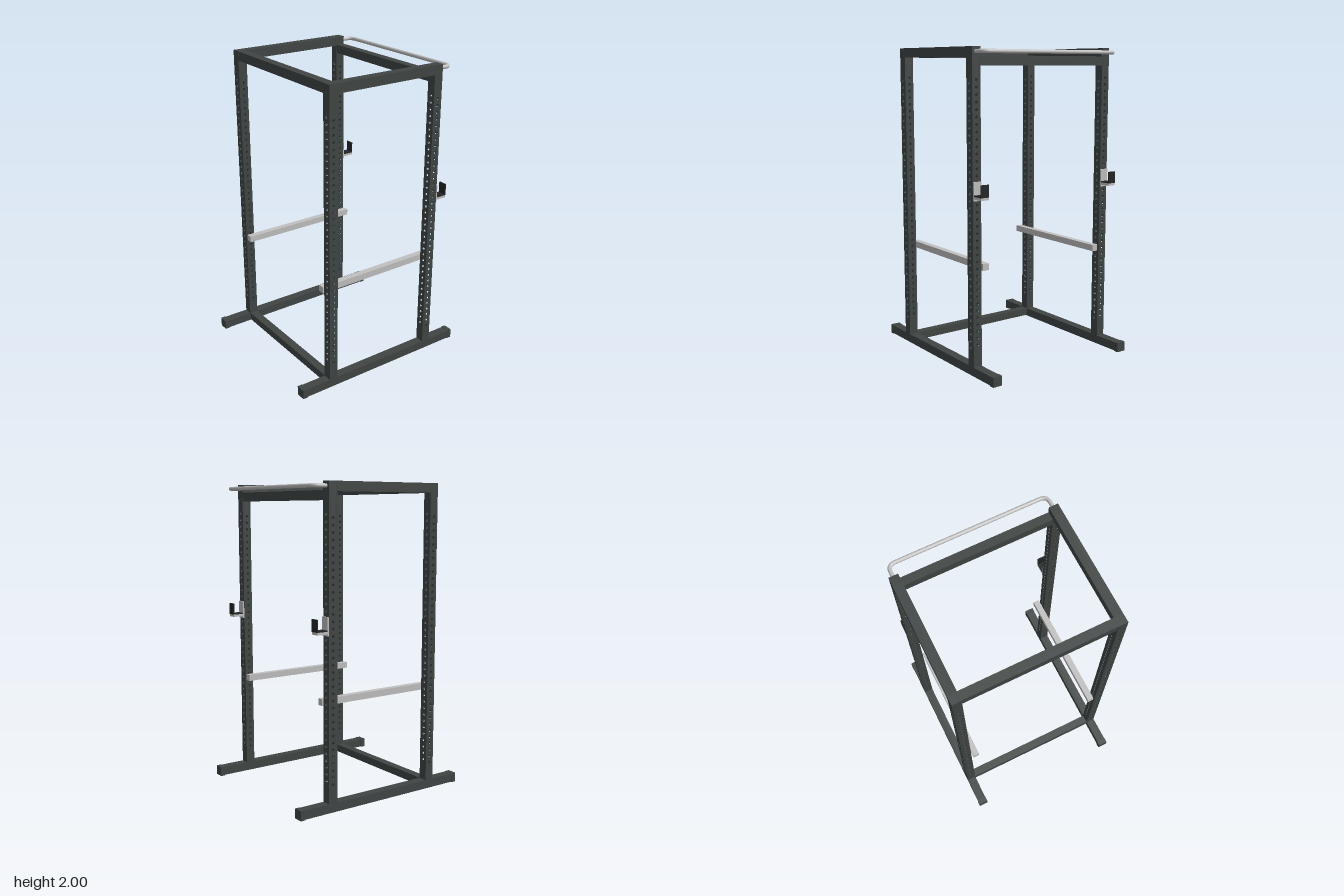
import * as THREE from 'three';

const frameMat = new THREE.MeshStandardMaterial({ name: 'dark frame', color: 0x404645 });
const steelMat = new THREE.MeshStandardMaterial({ name: 'light steel', color: 0xc0c0c0 });
const linerMat = new THREE.MeshStandardMaterial({ name: 'black liner', color: 0x222425 });

const POST_X = 0.51, POST_Z = 0.39, TUBE = 0.06, WALL = 0.004;
const POST_BOTTOM = 0.06, POST_TOP = 2;
const HOLES = 38, PITCH = 0.0435, HOLE_R = 0.0095;

// Box given by its min and max corners
function box(name, mat, [x0, y0, z0], [x1, y1, z1]) {
  const mesh = new THREE.Mesh(new THREE.BoxGeometry(x1 - x0, y1 - y0, z1 - z0), mat);
  mesh.position.set((x0 + x1) / 2, (y0 + y1) / 2, (z0 + z1) / 2);
  mesh.name = name;
  return mesh;
}

// Tall plate with a row of round holes, centred on its thickness
function perforatedPlate(width, firstHole) {
  const w = width / 2;
  const shape = new THREE.Shape();
  shape.moveTo(-w, POST_BOTTOM);
  shape.lineTo(w, POST_BOTTOM);
  shape.lineTo(w, POST_TOP);
  shape.lineTo(-w, POST_TOP);
  shape.closePath();
  for (let i = 0; i < HOLES; i++) {
    const hole = new THREE.Path();
    hole.absarc(0, firstHole + i * PITCH, HOLE_R, 0, Math.PI * 2, true);
    shape.holes.push(hole);
  }
  const geo = new THREE.ExtrudeGeometry(shape, { depth: WALL, bevelEnabled: false, curveSegments: 10 });
  return geo.translate(0, 0, -WALL / 2);
}

export function createModel() {
  const rack = new THREE.Group();
  rack.name = 'powerRack';

  // Hollow uprights, drilled on all four faces
  const faceGeo = perforatedPlate(TUBE, 0.2);
  const sideGeo = perforatedPlate(TUBE - 2 * WALL, 0.18).rotateY(Math.PI / 2);
  const offset = TUBE / 2 - WALL / 2;
  for (const sx of [-1, 1]) {
    for (const sz of [-1, 1]) {
      const post = new THREE.Group();
      post.name = 'upright';
      for (const s of [-1, 1]) {
        const face = new THREE.Mesh(faceGeo, frameMat);
        face.name = 'uprightFace';
        face.position.z = s * offset;
        const side = new THREE.Mesh(sideGeo, frameMat);
        side.name = 'uprightSide';
        side.position.x = s * offset;
        post.add(face, side);
      }
      const h = TUBE / 2 - WALL;
      post.add(box('uprightTopCap', frameMat, [-h, POST_TOP - WALL, -h], [h, POST_TOP, h]));
      post.position.set(sx * POST_X, 0, sz * POST_Z);
      rack.add(post);
    }
  }

  for (const s of [-1, 1]) {
    const side = new THREE.Group();
    side.name = s > 0 ? 'leftSide' : 'rightSide';
    const x0 = s * POST_X - TUBE / 2, x1 = s * POST_X + TUBE / 2;

    // Base skid with slightly larger end caps, and the top rail
    side.add(box('baseRail', frameMat, [x0, 0.003, -0.625], [x1, 0.06, 0.625]));
    for (const e of [-1, 1]) {
      const z = e * 0.61;
      side.add(box('baseEndCap', frameMat, [x0 - 0.002, 0, z - 0.017], [x1 + 0.002, 0.062, z + 0.017]));
    }
    side.add(box('topRail', frameMat, [x0, 1.94, -0.36], [x1, 2, 0.36]));

    // Safety bar just inside the uprights
    const bx = s * 0.446;
    side.add(box('safetyBar', steelMat, [bx - 0.021, 0.66, -0.42], [bx + 0.021, 0.702, 0.42]));

    // Bar holder on the rear upright
    const cup = new THREE.Group();
    cup.name = 'barHolder';
    const c0 = s * POST_X - 0.028, c1 = s * POST_X + 0.028;
    cup.add(
      box('holderPlate', steelMat, [c0, 1.095, -0.429], [c1, 1.21, -0.42]),
      box('holderShelf', steelMat, [c0, 1.108, -0.502], [c1, 1.124, -0.429]),
      box('holderLiner', linerMat, [c0, 1.124, -0.496], [c1, 1.131, -0.429]),
      box('holderLip', linerMat, [c0, 1.124, -0.504], [c1, 1.2, -0.496])
    );
    side.add(cup);
    rack.add(side);
  }

  // Cross beams: front top, rear top (set lower) and front bottom
  rack.add(
    box('frontTopBeam', frameMat, [-0.48, 1.94, 0.36], [0.48, 2, 0.418]),
    box('rearTopBeam', frameMat, [-0.48, 1.89, -0.418], [0.48, 1.948, -0.362]),
    box('frontBottomBeam', frameMat, [-0.48, 0.008, 0.362], [0.48, 0.06, 0.418])
  );

  // Bent pull-up bar behind the rear uprights
  const v = (x, z) => new THREE.Vector3(x, 1.972, z);
  const path = new THREE.CurvePath();
  path.add(new THREE.LineCurve3(v(-0.512, -0.415), v(-0.512, -0.462)));
  path.add(new THREE.QuadraticBezierCurve3(v(-0.512, -0.462), v(-0.512, -0.508), v(-0.462, -0.508)));
  path.add(new THREE.LineCurve3(v(-0.462, -0.508), v(0.462, -0.508)));
  path.add(new THREE.QuadraticBezierCurve3(v(0.462, -0.508), v(0.512, -0.508), v(0.512, -0.462)));
  path.add(new THREE.LineCurve3(v(0.512, -0.462), v(0.512, -0.415)));
  const bar = new THREE.Mesh(new THREE.TubeGeometry(path, 120, 0.0125, 14, false), steelMat);
  bar.name = 'pullUpBar';
  rack.add(bar);

  return rack;
}
